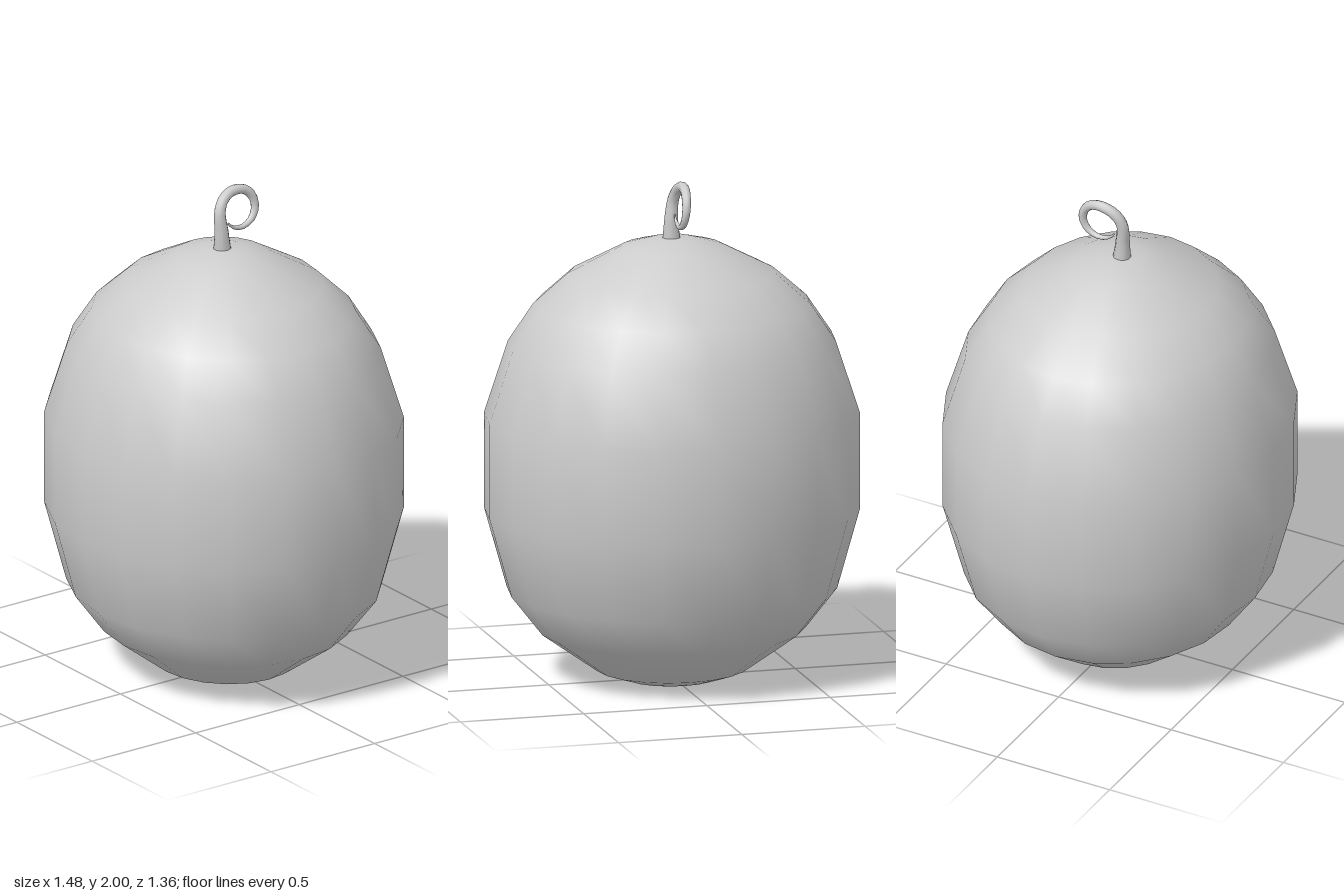
import * as THREE from 'three';

// Tube whose radius follows a list of radii along its path
function taperedTube(points, radii, steps, sides) {
  const curve = new THREE.CatmullRomCurve3(points.map(p => new THREE.Vector3(...p)));
  const geo = new THREE.TubeGeometry(curve, steps, 1, sides, false);
  const pos = geo.attributes.position;
  const v = new THREE.Vector3();
  for (let i = 0; i <= steps; i++) {
    const centre = curve.getPointAt(i / steps);
    const f = (i / steps) * (radii.length - 1);
    const k = Math.min(Math.floor(f), radii.length - 2);
    const r = THREE.MathUtils.lerp(radii[k], radii[k + 1], f - k);
    for (let j = 0; j <= sides; j++) {
      const n = i * (sides + 1) + j;
      v.fromBufferAttribute(pos, n).sub(centre).multiplyScalar(r).add(centre);
      pos.setXYZ(n, v.x, v.y, v.z);
    }
  }
  return geo;
}

export function createModel() {
  const model = new THREE.Group();
  model.name = 'gourd';
  const material = new THREE.MeshStandardMaterial({ color: 0xcccccc });

  // Oval body: 20-sided lathe, slightly narrower front to back
  const profile = [
    [0, 0], [0.19, 0.003], [0.30, 0.04], [0.525, 0.2], [0.65, 0.36], [0.74, 0.68],
    [0.74, 1.06], [0.645, 1.35], [0.545, 1.5], [0.41, 1.62], [0.2, 1.73], [0.09, 1.76], [0, 1.765],
  ].map(p => new THREE.Vector2(...p));
  const body = new THREE.Mesh(new THREE.LatheGeometry(profile, 20), material);
  body.name = 'body';
  body.scale.z = 0.922;
  model.add(body);

  // Curled stem, looping towards the back and thinning to its tip
  const path = [
    [0, 1.74, 0.008], [0, 1.83, 0.012], [-0.008, 1.91, 0.014], [-0.018, 1.955, -0.01],
    [-0.024, 1.979, -0.055], [-0.022, 1.975, -0.11], [-0.017, 1.94, -0.148],
    [-0.012, 1.89, -0.158], [-0.008, 1.845, -0.135], [-0.006, 1.825, -0.09],
    [-0.005, 1.835, -0.045], [-0.005, 1.86, -0.02],
  ];
  const radii = [0.038, 0.03, 0.025, 0.022, 0.021, 0.019, 0.017, 0.014, 0.01, 0.003];
  const stem = new THREE.Mesh(taperedTube(path, radii, 28, 10), material);
  stem.name = 'curledStem';
  model.add(stem);

  return model;
}
